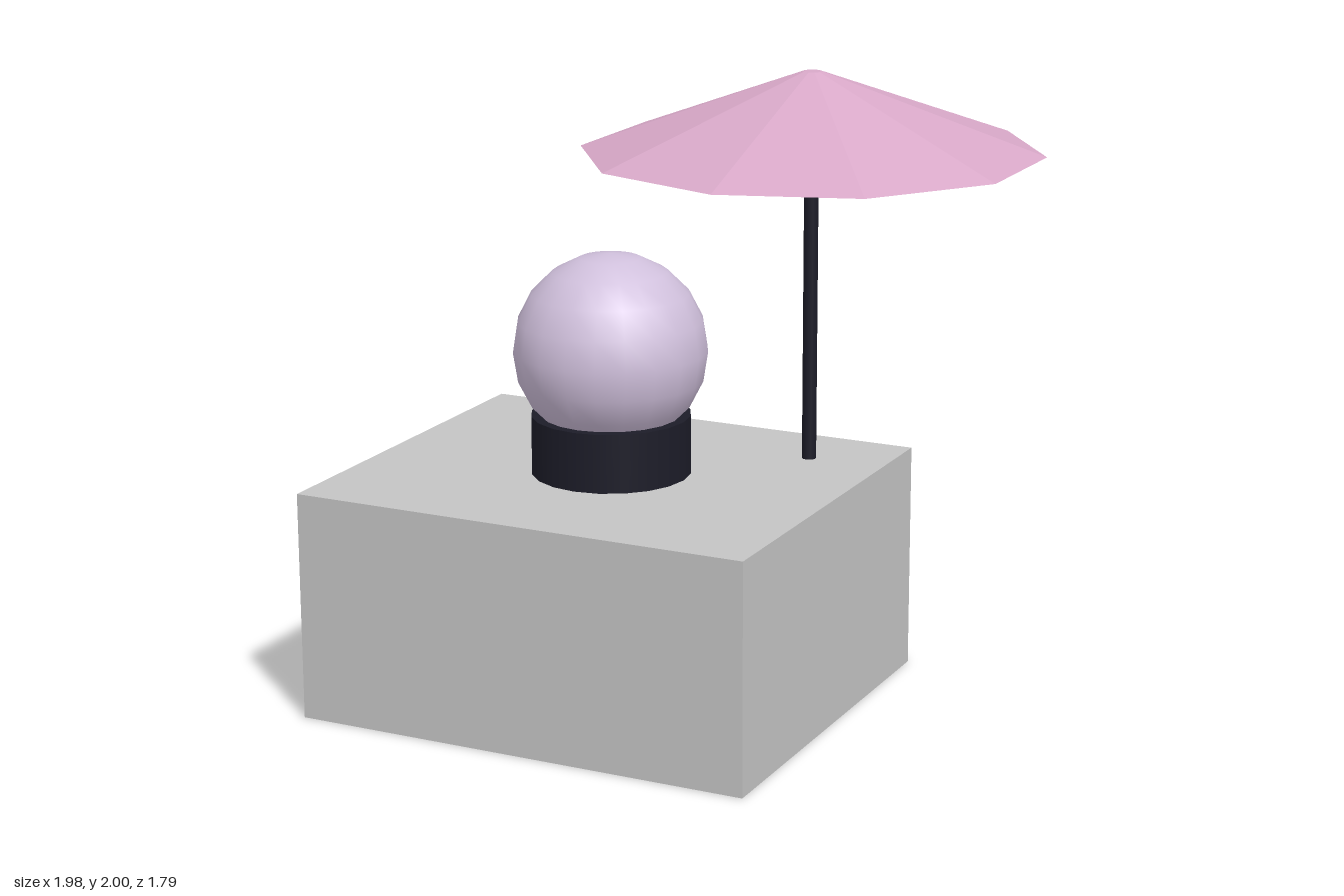
import * as THREE from 'three';

const material = (name, color, flatShading = false) => {
  const m = new THREE.MeshStandardMaterial({ color, flatShading });
  m.name = name;
  return m;
};

export function createModel() {
  const group = new THREE.Group();
  group.name = 'globeUnderParasol';

  const grey = material('stone grey', 0xc4c4c4);
  const dark = material('dark navy', 0x1c1c28);
  const lilac = material('pale lilac', 0xd0c0dc);
  const pink = material('dusty pink', 0xd8a8c8, true);

  const add = (name, geometry, mat, x, y, z) => {
    const mesh = new THREE.Mesh(geometry, mat);
    mesh.name = name;
    mesh.position.set(x, y, z);
    group.add(mesh);
  };

  // Plinth with the globe standing at its centre
  const cx = -0.225, cz = 0.24, plinthTop = 0.74;
  add('plinth', new THREE.BoxGeometry(1.53, plinthTop, 1.3), grey, cx, plinthTop / 2, cz);
  add('globeStand', new THREE.CylinderGeometry(0.255, 0.255, 0.19, 20), dark, cx, plinthTop + 0.095, cz);
  add('globe', new THREE.SphereGeometry(0.31, 20, 10), lilac, cx, 1.14, cz);

  // Parasol at the rear corner: slim pole and ten-sided canopy closed underneath
  const px = 0.285, pz = -0.16, canopyBase = 1.745;
  const poleHeight = canopyBase + 0.03 - plinthTop;
  add('parasolPole', new THREE.CylinderGeometry(0.023, 0.023, poleHeight, 10), dark, px, plinthTop + poleHeight / 2, pz);
  add('parasolCanopy', new THREE.CylinderGeometry(0.03, 0.737, 2 - canopyBase, 10), pink, px, (2 + canopyBase) / 2, pz);

  return group;
}
